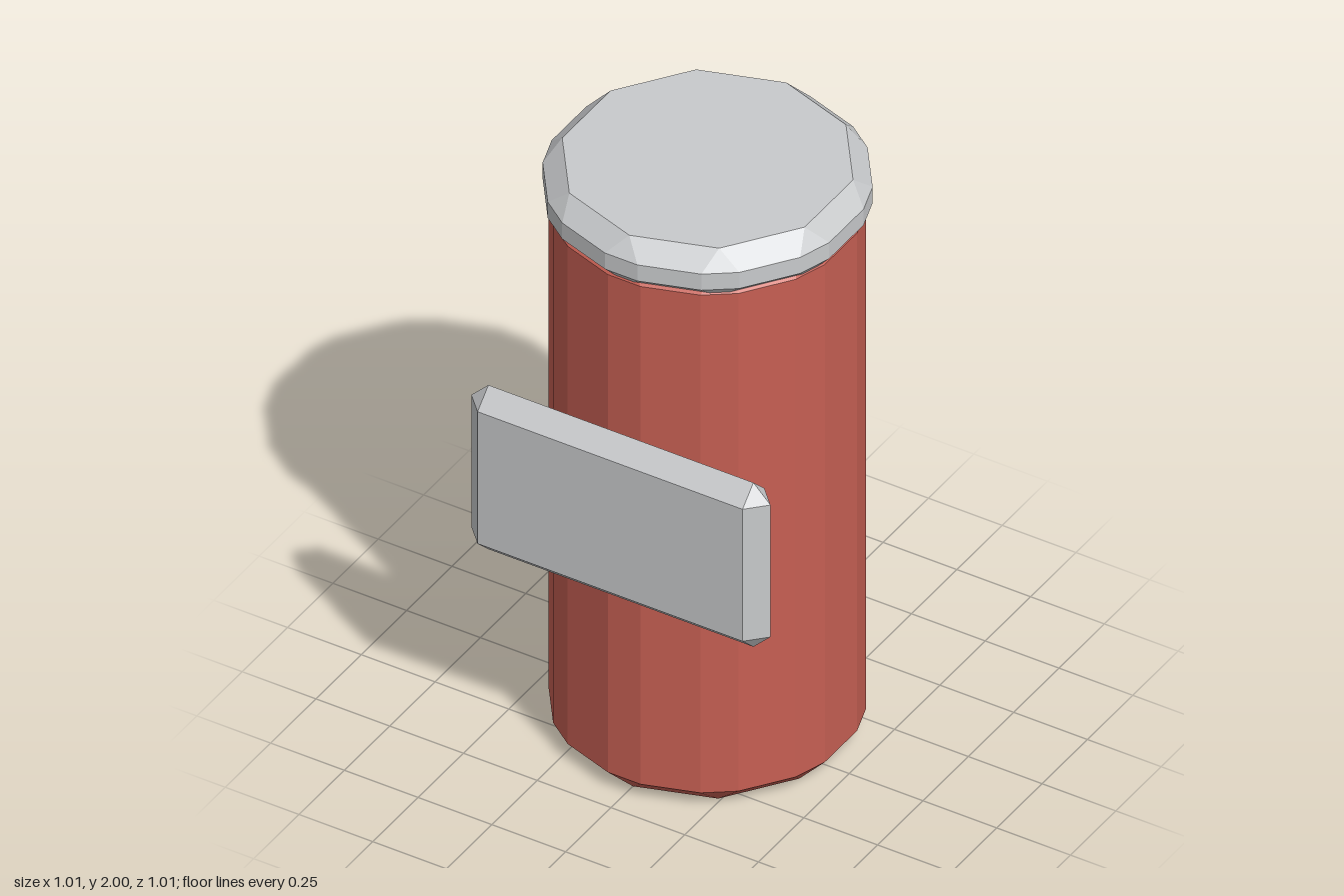
import * as THREE from 'three';
import { ConvexGeometry } from 'three/addons/geometries/ConvexGeometry.js';

const SIDES = 10;

// Bevelled ten-sided drum: each corner of the end caps fans out to two corners on the wall.
function drum(capRadius, wallRadius, split, y0, y1, bevel) {
  const points = [];
  const add = (r, a, y) => points.push(new THREE.Vector3(r * Math.sin(a), y, r * Math.cos(a)));
  for (let i = 0; i < SIDES; i++) {
    const a = (i / SIDES) * Math.PI * 2;
    add(capRadius, a, y0);
    add(capRadius, a, y1);
    for (const s of [-split, split]) {
      add(wallRadius, a + s, y0 + bevel);
      add(wallRadius, a + s, y1 - bevel);
    }
  }
  return new ConvexGeometry(points);
}

// Plate whose chamfers on all edges meet along its middle plane.
function bevelledPlate(halfX, halfY, halfZ, bevel) {
  const points = [];
  for (const x of [-1, 1]) for (const y of [-1, 1]) {
    const ix = x * (halfX - bevel), iy = y * (halfY - bevel);
    points.push(
      new THREE.Vector3(ix, iy, halfZ),
      new THREE.Vector3(ix, iy, -halfZ),
      new THREE.Vector3(x * halfX, iy, 0),
      new THREE.Vector3(ix, y * halfY, 0)
    );
  }
  return new ConvexGeometry(points);
}

export function createModel() {
  const red = new THREE.MeshStandardMaterial({ color: 0xc65f53 });
  red.name = 'red';
  const grey = new THREE.MeshStandardMaterial({ color: 0xc8cacc });
  grey.name = 'lightGrey';
  red.flatShading = grey.flatShading = true;

  const group = new THREE.Group();
  const part = (name, geometry, material, y, z) => {
    const mesh = new THREE.Mesh(geometry, material);
    mesh.name = name;
    mesh.position.set(0, y, z);
    group.add(mesh);
  };

  // Canister body and its lid
  part('body', drum(0.41, 0.462, 0.12, 0, 1.915, 0.06), red, 0, -0.031);
  part('lid', drum(0.432, 0.48, 0.115, 1.828, 2, 0.057), grey, 0, -0.033);

  // Plate on the front
  part('frontPlate', bevelledPlate(0.507, 0.296, 0.06, 0.058), grey, 1.017, 0.445);

  return group;
}
